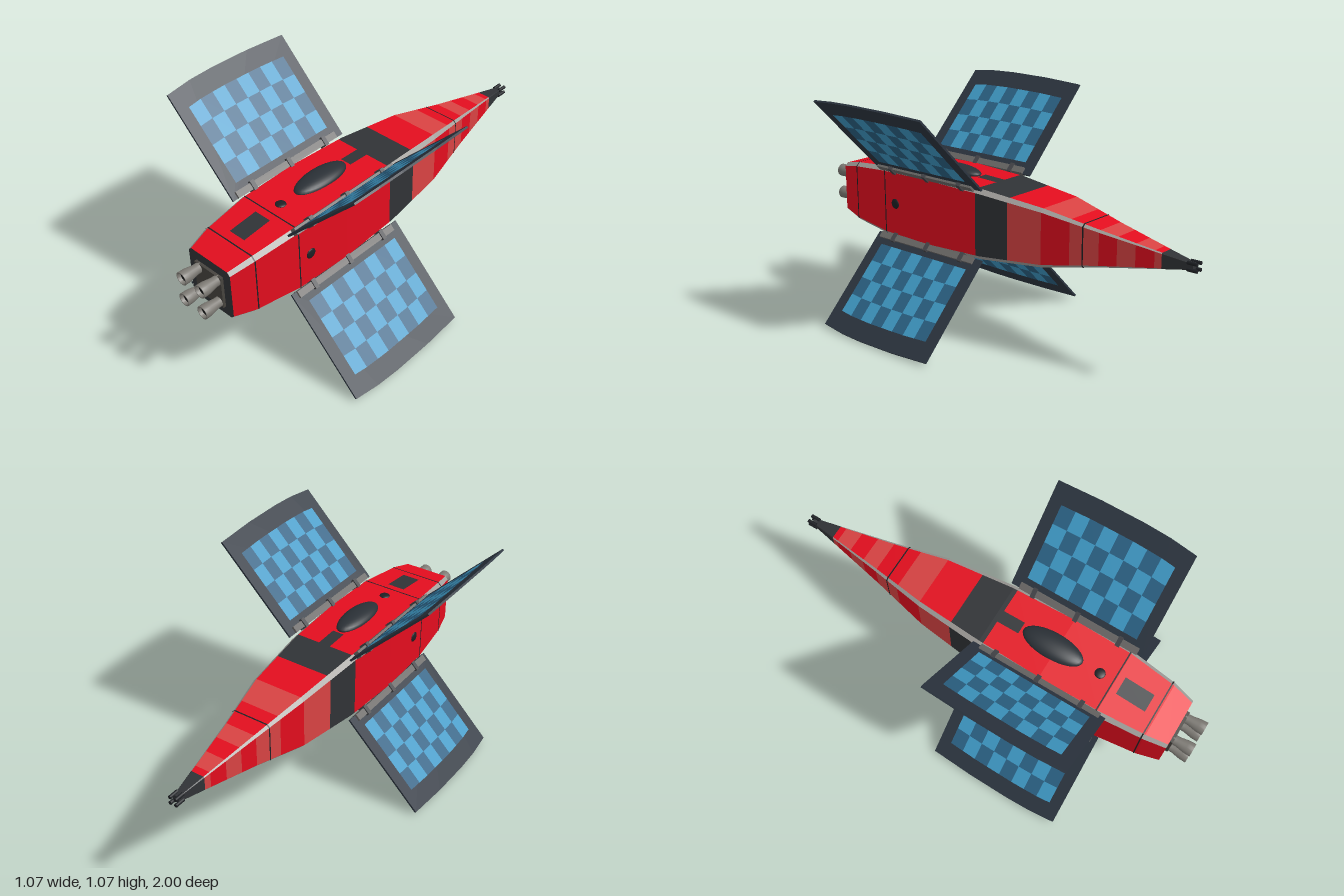
import * as THREE from 'three';

const AXIS_Y = 0.535;
const mats = {};
function mat(color, side = THREE.FrontSide) {
  const key = color + '_' + side;
  if (!mats[key]) {
    mats[key] = new THREE.MeshStandardMaterial({ side });
    mats[key].color.set(color);
  }
  return mats[key];
}
const RED = 0xe30d1e, PALE = 0xd94343, DARK = 0x303336, EDGE = 0xa3a19d;
const GREY = 0x6b6967, FRAME = 0x2c3540, BLACK = 0x1d2024;
const CELLS = [0x3f9ac6, 0x2b6285, 0x2a4c66];

// Piecewise linear lookup in [position, value] pairs
function lerpTable(table, z) {
  for (let i = 1; i < table.length; i++) {
    const [a, va] = table[i - 1], [b, vb] = table[i];
    if (z <= b) return va + (vb - va) * (z - a) / (b - a);
  }
  return table[table.length - 1][1];
}
const HULL = [[-0.97, 0.014], [-0.85, 0.034], [-0.58, 0.08], [-0.32, 0.13], [0, 0.16],
  [0.3, 0.17], [0.58, 0.165], [0.8, 0.142], [0.9, 0.12]];
const half = z => lerpTable(HULL, z);
const flat = z => half(z) * 0.88;

function add(parent, name, geo, material, x = 0, y = 0, z = 0) {
  const mesh = new THREE.Mesh(geo, material);
  mesh.name = name;
  mesh.position.set(x, y, z);
  parent.add(mesh);
  return mesh;
}

// Flat-shaded geometry from four-cornered faces
function quads(list) {
  const pos = [];
  for (const [a, b, c, d] of list) pos.push(...a, ...b, ...c, ...a, ...c, ...d);
  const geo = new THREE.BufferGeometry();
  geo.setAttribute('position', new THREE.Float32BufferAttribute(pos, 3));
  geo.computeVertexNormals();
  return geo;
}

// One lengthwise strip face on side k; ends are given as [x, y] pairs at z0 and z1
function strip(k, z0, z1, a0, b0, a1, b1) {
  const c = [1, 0, -1, 0][k], s = [0, 1, 0, -1][k];
  const turn = (p, z) => [p[0] * c + p[1] * s, p[1] * c - p[0] * s, z];
  return [turn(a1, z1), turn(b1, z1), turn(b0, z0), turn(a0, z0)];
}
function sideFace(k, z0, z1, grow = 0, width = null) {
  const w = z => width ?? flat(z) + grow * 0.6, h = z => half(z) + grow;
  return strip(k, z0, z1, [-w(z0), h(z0)], [w(z0), h(z0)], [-w(z1), h(z1)], [w(z1), h(z1)]);
}
function cornerFace(k, z0, z1, grow = 0) {
  const w = z => flat(z) + grow * 0.6, h = z => half(z) + grow;
  return strip(k, z0, z1, [w(z0), h(z0)], [h(z0), w(z0)], [w(z1), h(z1)], [h(z1), w(z1)]);
}

function buildHull(root) {
  const hull = new THREE.Group();
  hull.name = 'hull';
  root.add(hull);
  // Lengthwise sections: [start, end, colour of top and bottom, colour of sides]
  const sections = [[-0.97, -0.85, DARK, DARK], [-0.85, -0.82, RED, PALE], [-0.82, -0.74, PALE, RED],
    [-0.74, -0.66, RED, PALE], [-0.66, -0.58, PALE, RED], [-0.58, -0.45, RED, PALE],
    [-0.45, -0.32, PALE, RED], [-0.32, -0.15, RED, PALE], [-0.15, 0, DARK, DARK],
    [0, 0.02, DARK, DARK], [0.02, 0.3, RED, RED], [0.3, 0.58, RED, RED],
    [0.58, 0.8, RED, RED], [0.8, 0.9, RED, RED]];
  const byColor = new Map();
  const put = (color, face) => byColor.set(color, [...(byColor.get(color) ?? []), face]);
  for (const [z0, z1, topColor, sideColor] of sections) {
    for (let k = 0; k < 4; k++) {
      put(k % 2 ? sideColor : topColor, sideFace(k, z0, z1));
      put(z1 <= -0.85 ? DARK : EDGE, cornerFace(k, z0, z1));
    }
  }
  const names = { [RED]: 'redPlating', [PALE]: 'paleStripes', [DARK]: 'darkBands', [EDGE]: 'cornerEdges' };
  for (const [color, faces] of byColor) add(hull, names[color], quads(faces), mat(color));

  // Panel seams around the hull
  for (const z of [-0.51, 0.575, 0.79]) {
    const faces = [];
    for (let k = 0; k < 4; k++) {
      faces.push(sideFace(k, z - 0.003, z + 0.003, 0.002), cornerFace(k, z - 0.003, z + 0.003, 0.002));
    }
    add(hull, 'panelSeam', quads(faces), mat(BLACK));
  }
  // Dark hatches on the top
  add(hull, 'frontHatch', quads([sideFace(0, 0.61, 0.75, 0.003, 0.042)]), mat(DARK));
  add(hull, 'rearHatch', quads([sideFace(0, 0.01, 0.125, 0.003, 0.028)]), mat(DARK));

  // Canopy and a round port on every side
  const canopy = add(hull, 'canopy', new THREE.SphereGeometry(1, 32, 16), mat(0x2a3036), 0, 0.168, 0.28);
  canopy.scale.set(0.06, 0.031, 0.145);
  for (let k = 0; k < 4; k++) {
    const a = k * Math.PI / 2, r = half(0.51);
    const port = add(hull, 'roundPort', new THREE.SphereGeometry(0.024, 16, 10), mat(BLACK),
      Math.sin(a) * r, Math.cos(a) * r, 0.51);
    port.rotation.z = -a;
    port.scale.y = 0.3;
  }
}

function buildEngines(root) {
  // End plate
  const h = half(0.9), w = flat(0.9);
  const outline = [[w, h], [-w, h], [-h, w], [-h, -w], [-w, -h], [w, -h], [h, -w], [h, w]];
  const shape = new THREE.Shape(outline.map(([x, y]) => new THREE.Vector2(x, y)));
  add(root, 'endPlate', new THREE.ShapeGeometry(shape), mat(DARK), 0, 0, 0.9);
  add(root, 'engineMount', new THREE.BoxGeometry(0.155, 0.155, 0.02), mat(0x47443f), 0, 0, 0.903);
  // Four hollow flared nozzles
  const profile = [[0.012, 0.93], [0.022, 0.95], [0.024, 1.0], [0.03, 1.0], [0.029, 0.97], [0.022, 0.93], [0.022, 0.905]];
  const nozzle = new THREE.LatheGeometry(profile.map(([r, z]) => new THREE.Vector2(r, z)), 20);
  nozzle.rotateX(Math.PI / 2);
  const throat = new THREE.CircleGeometry(0.0235, 20);
  for (const x of [-0.054, 0.054]) for (const y of [-0.056, 0.056]) {
    add(root, 'nozzle', nozzle, mat(0x7d7a74, THREE.DoubleSide), x, y, 0);
    add(root, 'nozzleThroat', throat, mat(0x121314), x, y, 0.985);
  }
}

// Wing in its own frame: x runs outward, z along the hull
function buildWing() {
  const wing = new THREE.Group();
  wing.name = 'solarWing';
  const RIM = [[-0.02, 0.735], [0.18, 0.747], [0.38, 0.75], [0.5, 0.746], [0.625, 0.732]];
  const T = 0.009;
  const shape = new THREE.Shape([[-0.02, 0.225], ...RIM, [0.625, 0.225]].map(([z, r]) => new THREE.Vector2(r, -z)));
  const panel = new THREE.ExtrudeGeometry(shape, { depth: T, bevelEnabled: false });
  panel.rotateX(-Math.PI / 2).translate(0, -T / 2, 0);
  add(wing, 'wingPanel', panel, mat(FRAME));

  // Checkered cells on both faces
  const COLS = 8, ROWS = 4, tones = [[], []];
  const zAt = i => 0.035 + 0.535 * i / COLS;
  const rAt = (j, z) => 0.285 + (lerpTable(RIM, z) - 0.09 - 0.285) * j / ROWS;
  for (let i = 0; i < COLS; i++) for (let j = 0; j < ROWS; j++) {
    const z0 = zAt(i), z1 = zAt(i + 1);
    for (const s of [1, -1]) {
      const y = s * (T / 2 + 0.0015);
      const face = [[rAt(j, z1), y, z1], [rAt(j + 1, z1), y, z1], [rAt(j + 1, z0), y, z0], [rAt(j, z0), y, z0]];
      tones[(i + j) % 2].push(s > 0 ? face : face.reverse());
    }
  }
  tones.forEach((faces, n) => add(wing, n ? 'darkCells' : 'brightCells', quads(faces), mat(CELLS[n])));

  // Hinge rail with clips
  add(wing, 'hingeRail', new THREE.BoxGeometry(0.03, 0.03, 0.58), mat(GREY), 0.24, 0, 0.31);
  for (const z of [0.09, 0.3, 0.51]) {
    add(wing, 'hingeClip', new THREE.BoxGeometry(0.044, 0.042, 0.02), mat(0x45464a), 0.24, 0, z);
  }
  return wing;
}

function buildTail(root) {
  // Blunt tip with four small prongs
  add(root, 'tailTip', new THREE.BoxGeometry(0.03, 0.03, 0.03), mat(DARK), 0, 0, -0.965);
  const prong = new THREE.CylinderGeometry(0.008, 0.008, 0.045, 10).rotateX(Math.PI / 2);
  for (const x of [-0.014, 0.014]) for (const y of [-0.014, 0.014]) {
    add(root, 'tailProng', prong, mat(BLACK), x, y, -0.9775);
  }
}

export function createModel() {
  const model = new THREE.Group();
  model.name = 'spacecraft';
  const body = new THREE.Group();
  body.name = 'body';
  body.position.y = AXIS_Y;
  model.add(body);
  buildHull(body);
  buildEngines(body);
  buildTail(body);
  for (let k = 0; k < 4; k++) {
    const wing = buildWing();
    wing.rotation.z = Math.PI / 4 + k * Math.PI / 2;
    body.add(wing);
  }
  return model;
}
